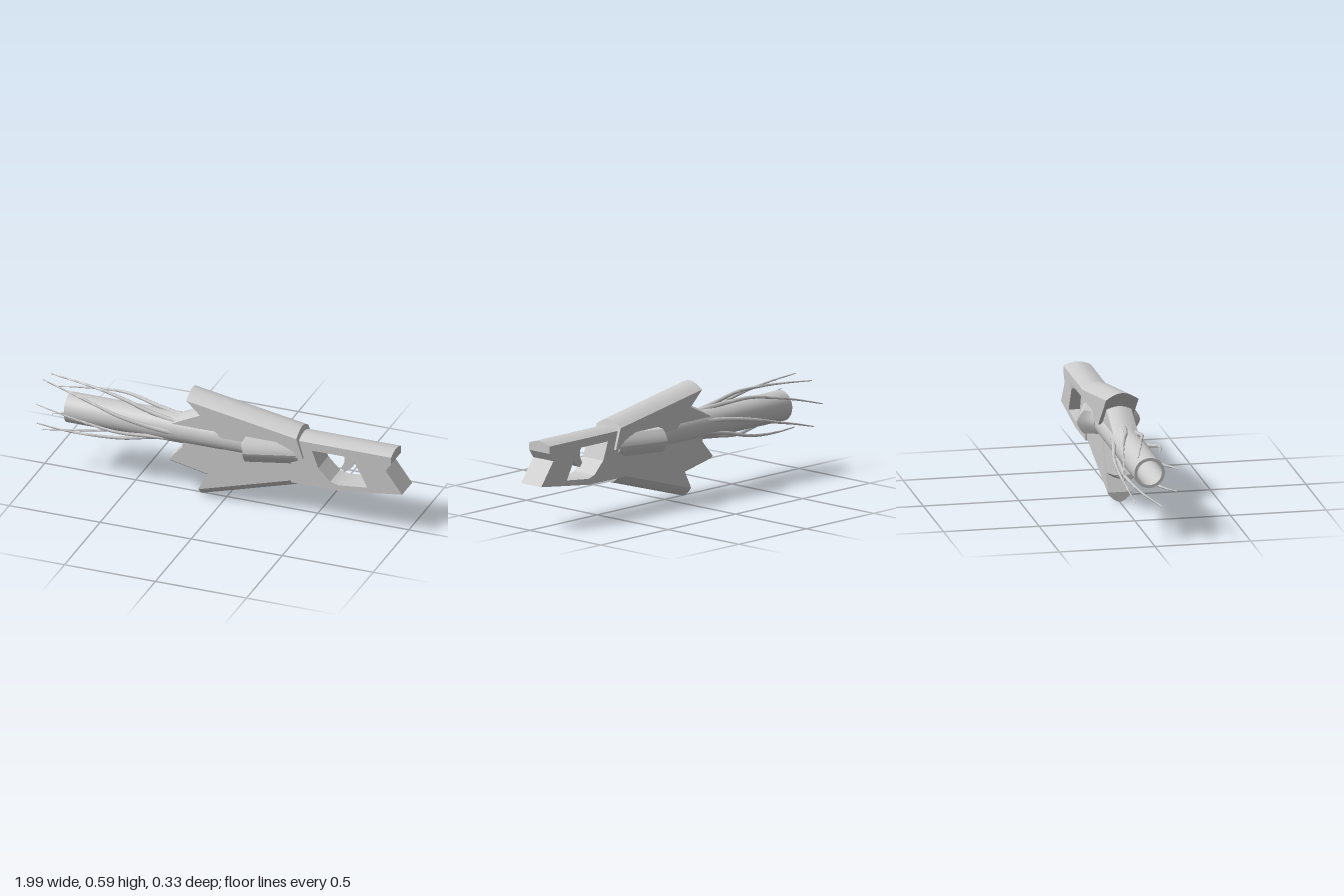
import * as THREE from 'three';
import { toCreasedNormals } from 'three/addons/utils/BufferGeometryUtils.js';

const AXIS_Y = 0.353;
const grey = new THREE.MeshStandardMaterial({ color: 0xcccccc, side: THREE.DoubleSide });

function addMesh(parent, name, geometry, crease = 0.4) {
  const mesh = new THREE.Mesh(toCreasedNormals(geometry, crease), grey);
  mesh.name = name;
  parent.add(mesh);
  return mesh;
}

const toPoints = (pts) => pts.map(([x, y]) => new THREE.Vector2(x, y));

// Move every vertex by a rule
function bend(geometry, rule) {
  const pos = geometry.attributes.position;
  const v = new THREE.Vector3();
  for (let i = 0; i < pos.count; i++) {
    rule(v.fromBufferAttribute(pos, i));
    pos.setXYZ(i, v.x, v.y, v.z);
  }
  return geometry;
}

// Side outline extruded across z; the corners listed in ridge curve away by drop at the sides
function crownedSlab(outline, halfWidth, ridge, drop, holes = []) {
  const shape = new THREE.Shape(toPoints(outline));
  for (const h of holes) shape.holes.push(new THREE.Path(toPoints(h)));
  const geo = new THREE.ExtrudeGeometry(shape, { depth: halfWidth * 2, steps: 10, bevelEnabled: false });
  geo.translate(0, 0, -halfWidth);
  return bend(geo, (v) => {
    const onRidge = ridge.some((i) =>
      Math.hypot(outline[i][0] - v.x, outline[i][1] - v.y) < 1e-4);
    if (onRidge) v.y += drop * Math.pow(Math.abs(v.z) / halfWidth, 1.8);
  });
}

// Thin strand twisting around the barrel, flaring outwards and tapering at the tip
function tendril(tipAngle, tipRadius, twist) {
  const points = [];
  const radii = [0.066, 0.088, 0.118, 0.128, 0.136, 1];
  const xs = [-0.24, -0.4, -0.56, -0.7, -0.85, -1];
  xs.forEach((x, i) => {
    const a = tipAngle - twist * (1 - i / (xs.length - 1));
    const r = i === xs.length - 1 ? tipRadius : radii[i] * (0.6 + 0.4 * tipRadius / 0.15);
    points.push(new THREE.Vector3(x, AXIS_Y + r * Math.sin(a), r * Math.cos(a)));
  });
  const curve = new THREE.CatmullRomCurve3(points);
  const rings = 32, sides = 6;
  const geo = new THREE.TubeGeometry(curve, rings, 0.014, sides, false);
  const pos = geo.attributes.position;
  const v = new THREE.Vector3();
  for (let i = 0; i < pos.count; i++) {
    const t = Math.floor(i / (sides + 1)) / rings;
    const centre = curve.getPointAt(t);
    v.fromBufferAttribute(pos, i).sub(centre).multiplyScalar(0.2 + 0.8 * (1 - t)).add(centre);
    pos.setXYZ(i, v.x, v.y, v.z);
  }
  return geo;
}

export function createModel() {
  const model = new THREE.Group();
  model.name = 'rifle';

  // Hollow barrel, turned around the long axis
  const barrelProfile = toPoints([
    [0, -0.5], [0.064, -0.5], [0.064, -0.865], [0.08, -0.865], [0.08, 0.38], [0, 0.38],
  ]);
  const barrel = new THREE.LatheGeometry(barrelProfile, 32);
  barrel.rotateZ(-Math.PI / 2).translate(0, AXIS_Y, 0);
  addMesh(model, 'barrel', barrel, 0.6);

  // Fins blending into the barrel above and below
  addMesh(model, 'upperFin', crownedSlab(
    [[-0.31, 0.405], [-0.1, 0.507], [0.1, 0.5], [0.1, 0.35], [-0.3, 0.35]],
    0.065, [0, 1], -0.02));
  addMesh(model, 'rearLowerFin', crownedSlab(
    [[-0.295, 0.158], [-0.06, 0.11], [0.08, 0.32], [-0.22, 0.32], [-0.22, 0.275], [-0.295, 0.19]],
    0.06, [0, 1], 0.03));
  addMesh(model, 'mainLowerFin', crownedSlab(
    [[-0.13, 0], [0.4, 0.155], [0.4, 0.3], [0.3, 0.34], [0, 0.34], [0, 0.307], [-0.13, 0.052]],
    0.063, [0, 1], 0.048));

  // Top cover with a rounded roof
  addMesh(model, 'topCover', crownedSlab(
    [[-0.19, 0.594], [0.415, 0.489], [0.45, 0.345], [0.38, 0.345], [0.37, 0.375], [0, 0.38]],
    0.085, [0, 1], -0.036));

  // Stock with the grip opening
  addMesh(model, 'stock', crownedSlab(
    [[0.38, 0.457], [0.93, 0.457], [0.93, 0.4], [0.9, 0.357], [0.99, 0.235], [0.63, 0.19], [0.38, 0.19]],
    0.071, [0, 1], -0.019,
    [[[0.495, 0.395], [0.53, 0.3], [0.595, 0.235], [0.64, 0.222], [0.8, 0.24], [0.73, 0.37], [0.74, 0.395]]]));

  // Trigger hanging inside the opening
  addMesh(model, 'trigger', crownedSlab(
    [[0.63, 0.4], [0.655, 0.365], [0.655, 0.335], [0.637, 0.3], [0.655, 0.28], [0.69, 0.305],
      [0.715, 0.345], [0.735, 0.365], [0.75, 0.4]],
    0.025, [], 0));

  // Wedge pods on both sides, scooped at the back
  const podShape = new THREE.Shape(toPoints([
    [0.1, 0.045], [0.42, 0.045], [0.415, 0.085], [0.15, 0.165], [0.143, 0.138], [0.13, 0.108], [0.11, 0.085],
  ]));
  for (const side of [1, -1]) {
    const pod = new THREE.ExtrudeGeometry(podShape, { depth: 0.12, steps: 8, bevelEnabled: false });
    pod.rotateX(Math.PI / 2).translate(0, 0.06, 0);
    bend(pod, (v) => {
      if (v.z > 0.06) v.z -= 0.034 * Math.pow(Math.abs(v.y) / 0.06, 1.6);
    });
    if (side < 0) pod.rotateX(Math.PI);
    pod.translate(0, 0.355, 0);
    addMesh(model, side > 0 ? 'frontPod' : 'backPod', pod);
  }

  // Tendrils around the muzzle: tip angle, tip radius, twist
  const tendrils = new THREE.Group();
  tendrils.name = 'tendrils';
  model.add(tendrils);
  [
    [1.4, 0.145, 1.5], [3.07, 0.165, 1.5], [4.0, 0.155, 1.3],
    [4.95, 0.145, 1.3], [0.38, 0.132, 1.2], [2.2, 0.15, 1.4], [5.75, 0.13, 1.3],
  ].forEach(([a, r, twist], i) => addMesh(tendrils, `tendril${i + 1}`, tendril(a, r, twist), 1.2));

  return model;
}
